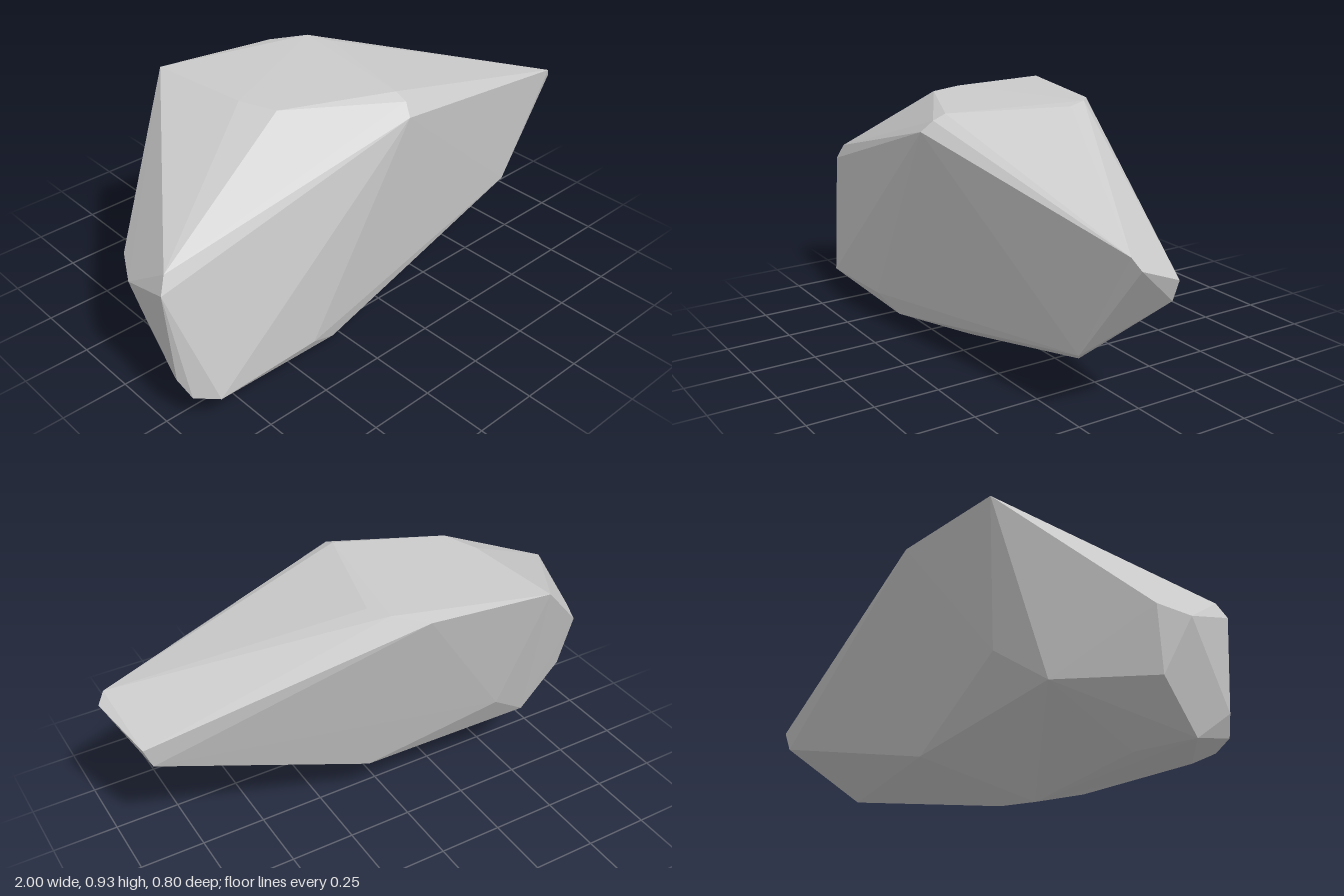
import * as THREE from 'three';
import { ConvexGeometry } from 'three/addons/geometries/ConvexGeometry.js';

// Corner points of the boulder, grouped by region
const corners = {
  topPlateau: [
    [-0.48, 0.92, -0.40], [-0.03, 0.91, -0.33], [0.08, 0.925, -0.24], [0.12, 0.92, -0.15],
    [-0.39, 0.925, 0.14], [-0.44, 0.925, 0.0], [0, 0.925, 0.31],
  ],
  frontBrow: [[-0.02, 0.865, 0.40], [0, 0.905, 0.36]],
  leftTip: [
    [1, 0.61, 0.21], [0.97, 0.65, 0.23], [0.93, 0.645, 0.235], [0.93, 0.52, 0],
    [0.90, 0.44, 0], [0.72, 0.24, 0.235], [0.70, 0.22, 0.22],
  ],
  rightEnd: [
    [-1, 0.55, 0.29], [-0.97, 0.61, 0.27], [-0.975, 0.47, 0.06], [-0.91, 0.49, -0.06],
    [-0.89, 0.25, -0.01], [-0.97, 0.19, 0.29], [-0.94, 0.12, 0.33],
  ],
  underside: [
    [-0.86, 0.10, 0.38], [-0.45, 0.12, 0.385], [-0.33, 0.06, 0.35], [-0.80, 0.055, 0.31],
    [-0.90, 0.08, 0.17], [-0.68, 0.07, 0.12], [-0.24, 0, 0.165], [-0.08, 0.02, 0.17],
  ],
  backFace: [[-0.38, 0.40, -0.265], [-0.56, 0.26, -0.20], [0.085, 0.175, -0.10]],
};

export function createModel() {
  const group = new THREE.Group();
  group.name = 'rock';

  // Faceted boulder: convex skin over the corners
  const points = Object.values(corners).flat().map((p) => new THREE.Vector3(...p));
  const boulder = new THREE.Mesh(
    new ConvexGeometry(points),
    new THREE.MeshStandardMaterial({ color: 0xcccccc, flatShading: true })
  );
  boulder.name = 'boulder';
  group.add(boulder);
  return group;
}
